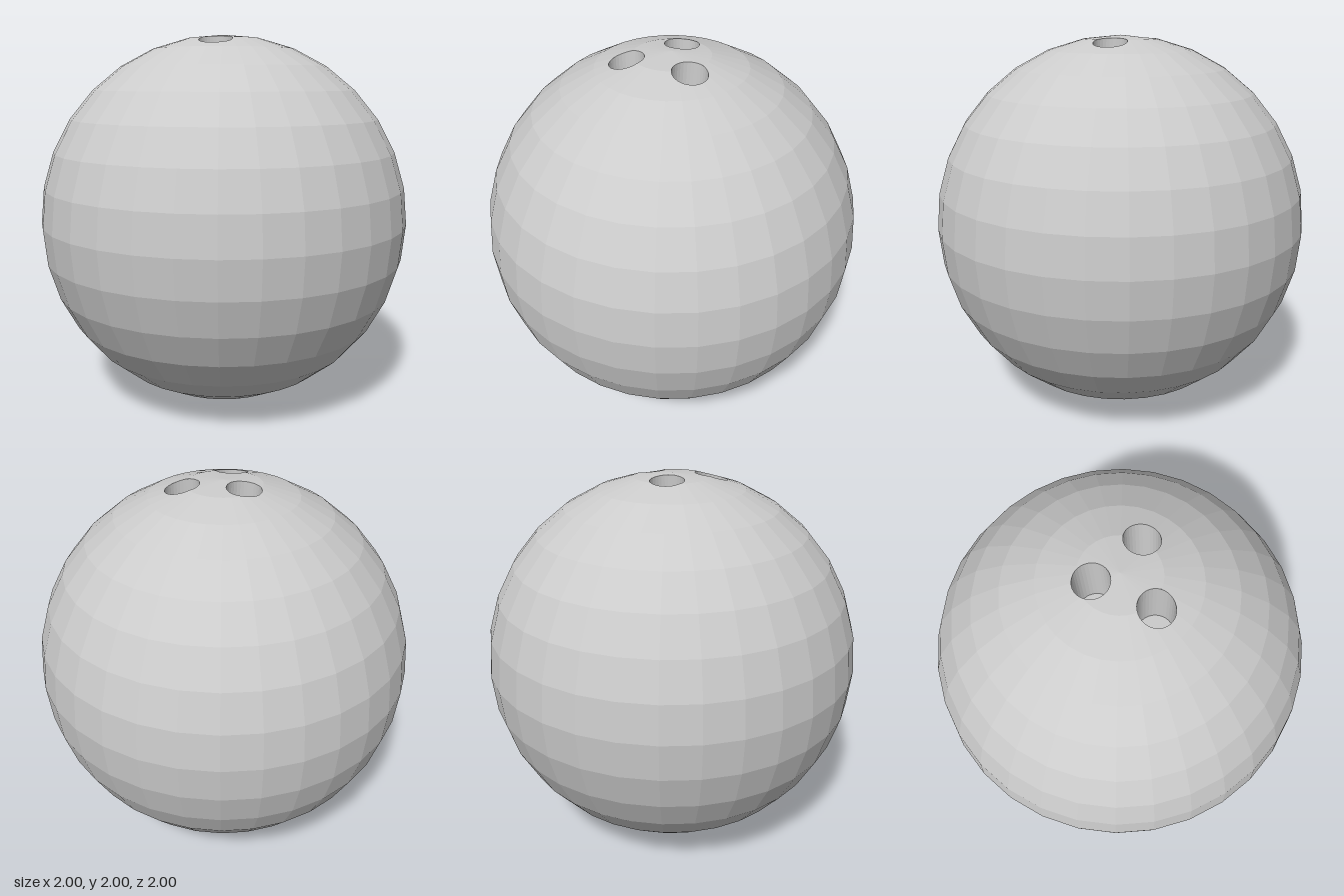
import * as THREE from 'three';

const SEG = 32, STEP = Math.PI / 16;
const CAP = [0, Math.sin(STEP), Math.sin(2 * STEP)]; // plan radii of the top two rings
const HOLE_R = 0.087, FLOOR_Y = 1.65;
// centre of each finger hole in plan, and how far its floor leans from it
const HOLES = [
  { name: 'thumbHole', x: -0.01, z: -0.13, dx: 0.004, dz: 0.018 },
  { name: 'rightFingerHole', x: -0.18, z: 0.13, dx: 0.014, dz: 0.012 },
  { name: 'leftFingerHole', x: 0.16, z: 0.13, dx: -0.014, dz: 0.012 },
];

const polar = (r, a, x = 0, z = 0) => new THREE.Vector2(x + r * Math.cos(a), z + r * Math.sin(a));
const circle = (r, n, x, z) => Array.from({ length: n }, (_, i) => polar(r, (i / n) * Math.PI * 2, x, z));

// height of the faceted ball's top at a point in plan
function capHeight(p) {
  const mid = (Math.floor(Math.atan2(p.y, p.x) / STEP) + 0.5) * STEP;
  const r = (p.x * Math.cos(mid) + p.y * Math.sin(mid)) / Math.cos(STEP / 2);
  const k = r < CAP[1] ? 0 : 1;
  const t = (r - CAP[k]) / (CAP[k + 1] - CAP[k]);
  return 1 + THREE.MathUtils.lerp(Math.cos(k * STEP), Math.cos((k + 1) * STEP), t);
}

// the part of a polygon that lies inside a convex counter-clockwise facet
function clip(poly, facet) {
  facet.forEach((a, i) => {
    const b = facet[(i + 1) % facet.length];
    const side = (p) => (b.x - a.x) * (p.y - a.y) - (b.y - a.y) * (p.x - a.x);
    const out = [];
    poly.forEach((p, j) => {
      const q = poly[(j + 1) % poly.length], sp = side(p), sq = side(q);
      if (sp >= 0) out.push(p);
      if (sp * sq < 0) out.push(p.clone().lerp(q, sp / (sp - sq)));
    });
    poly = out;
  });
  return poly;
}

function geometryFrom(positions) {
  const g = new THREE.BufferGeometry();
  g.setAttribute('position', new THREE.Float32BufferAttribute(positions, 3));
  g.computeVertexNormals();
  return g;
}

// top of the ball, cut through by the holes and split along the facet edges
function capGeometry() {
  const outline = circle(CAP[2], SEG, 0, 0);
  const holes = HOLES.map((h) => circle(HOLE_R, 32, h.x, h.z).reverse());
  const points = [outline, ...holes].flat();
  const triangles = THREE.ShapeUtils.triangulateShape(outline, holes).map((t) => t.map((i) => points[i]));
  const pos = [];
  for (let s = 0; s < SEG; s++) {
    const a = s * STEP, b = a + STEP;
    const mid = polar(1, a + STEP / 2);
    for (let k = 0; k < 2; k++) {
      const facet = [polar(CAP[k], a), polar(CAP[k + 1], a), polar(CAP[k + 1], b)];
      if (k) facet.push(polar(CAP[k], b));
      const lift = (p) => {
        const t = (p.dot(mid) / Math.cos(STEP / 2) - CAP[k]) / (CAP[k + 1] - CAP[k]);
        return [p.x, 1 + THREE.MathUtils.lerp(Math.cos(k * STEP), Math.cos((k + 1) * STEP), t), p.y];
      };
      for (const tri of triangles) {
        const poly = clip(tri, facet);
        if (poly.length < 3 || Math.abs(THREE.ShapeUtils.area(poly)) < 1e-9) continue;
        for (let i = 1; i < poly.length - 1; i++) {
          pos.push(...lift(poly[0]), ...lift(poly[i + 1]), ...lift(poly[i]));
        }
      }
    }
  }
  return geometryFrom(pos);
}

// leaning wall and flat floor of one hole, facing inwards
function holeGeometry(h) {
  const rim = circle(HOLE_R, 32, h.x, h.z).map((p) => [p.x, capHeight(p), p.y]);
  const base = circle(HOLE_R, 32, h.x + h.dx, h.z + h.dz).map((p) => [p.x, FLOOR_Y, p.y]);
  const centre = [h.x + h.dx, FLOOR_Y, h.z + h.dz];
  const pos = [];
  rim.forEach((r, i) => {
    const j = (i + 1) % rim.length;
    pos.push(...r, ...rim[j], ...base[i], ...rim[j], ...base[j], ...base[i]);
    pos.push(...centre, ...base[i], ...base[j]);
  });
  return geometryFrom(pos);
}

export function createModel() {
  const group = new THREE.Group();
  group.name = 'bowlingBall';
  const skin = new THREE.MeshStandardMaterial({ color: 0xcccccc, flatShading: true });
  const inner = new THREE.MeshStandardMaterial({ color: 0xcccccc, flatShading: true, side: THREE.DoubleSide });
  const add = (name, geometry, material) => {
    const mesh = new THREE.Mesh(geometry, material);
    mesh.name = name;
    group.add(mesh);
    return mesh;
  };

  // ball below the drilled top
  add('ballBody', new THREE.SphereGeometry(1, SEG, 14, 0, Math.PI * 2, 2 * STEP, 14 * STEP), skin).position.y = 1;
  add('drilledTop', capGeometry(), skin);
  HOLES.forEach((h) => add(h.name, holeGeometry(h), inner));
  return group;
}
